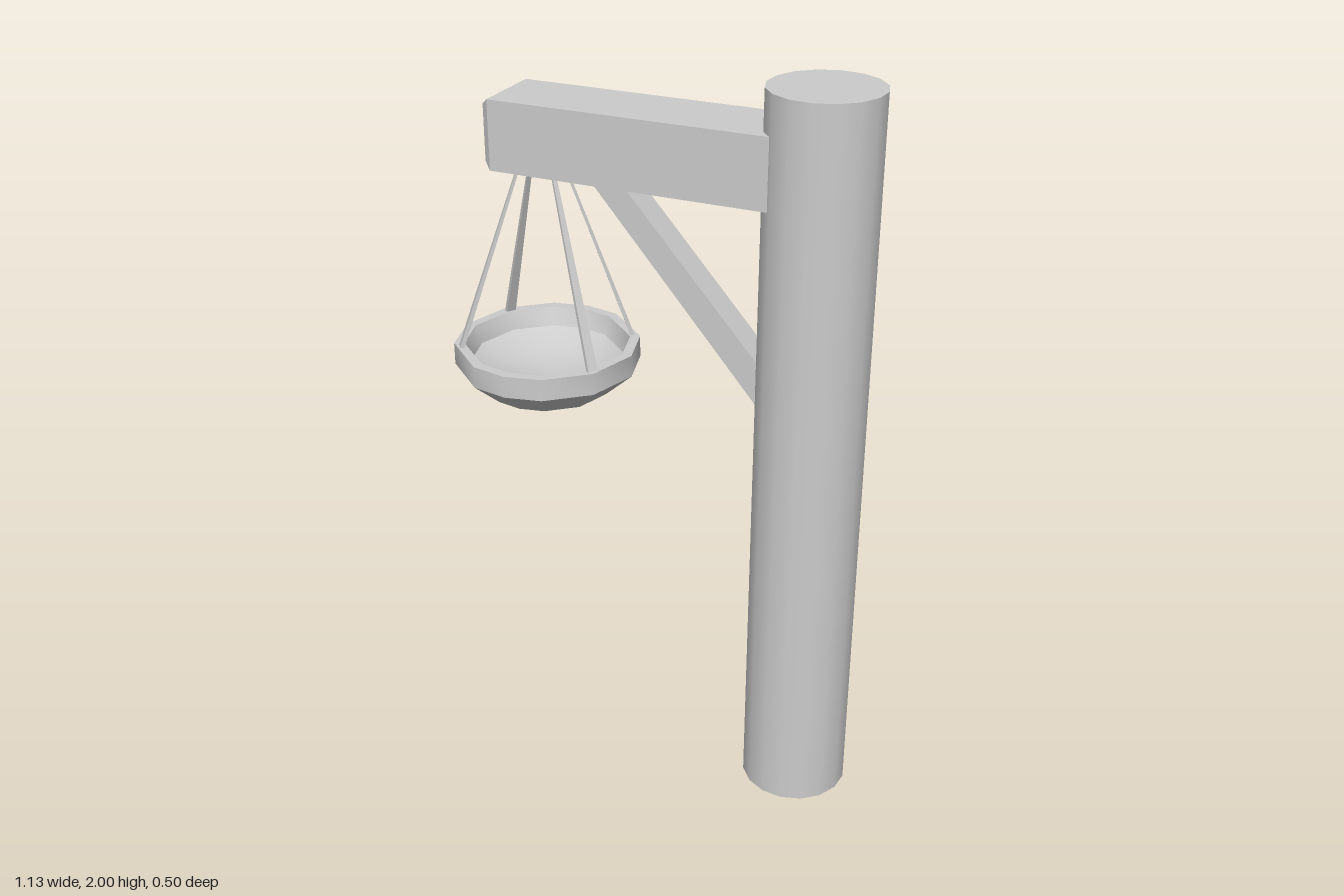
import * as THREE from 'three';
import { toCreasedNormals } from 'three/addons/utils/BufferGeometryUtils.js';

const material = new THREE.MeshStandardMaterial({ color: 0xcccccc });
const openMaterial = new THREE.MeshStandardMaterial({ color: 0xcccccc, side: THREE.DoubleSide });

function addMesh(parent, name, geometry, mat = material) {
  const mesh = new THREE.Mesh(geometry, mat);
  mesh.name = name;
  parent.add(mesh);
  return mesh;
}

// Applies a rule to every vertex of a geometry
function reshape(geometry, rule) {
  const p = geometry.attributes.position;
  const v = new THREE.Vector3();
  for (let i = 0; i < p.count; i++) {
    rule(v.fromBufferAttribute(p, i));
    p.setXYZ(i, v.x, v.y, v.z);
  }
  return geometry;
}

const creased = (geometry, angle) => toCreasedNormals(geometry.toNonIndexed(), angle);

export function createModel() {
  const model = new THREE.Group();
  model.name = 'hangingBowlPost';
  const postX = 0.417, postZ = 0.023, postRadius = 0.146;

  // Round post, open underneath
  const post = new THREE.Group();
  post.name = 'post';
  post.position.set(postX, 0, postZ);
  model.add(post);
  addMesh(post, 'postShaft',
    new THREE.CylinderGeometry(postRadius, postRadius, 2, 16, 1, true), openMaterial).position.y = 1;
  const cap = addMesh(post, 'postTop', new THREE.CircleGeometry(postRadius, 16));
  cap.rotation.set(-Math.PI / 2, 0, 0);
  cap.position.y = 2;

  // Arm assembly, turned slightly towards the back
  const arm = new THREE.Group();
  arm.name = 'arm';
  arm.position.set(postX, 0, postZ);
  arm.rotation.y = -0.1;
  model.add(arm);

  // Beam with a chamfered free end
  const length = 0.79;
  const beamGeometry = reshape(new THREE.BoxGeometry(length, 0.185, 0.205, 2, 1, 1), (v) => {
    if (Math.abs(v.x) < 0.001) v.x = -length / 2 + 0.022;
    else if (v.x < 0) {
      v.y -= Math.sign(v.y) * 0.018;
      v.z -= Math.sign(v.z) * 0.018;
    }
  });
  addMesh(arm, 'beam', creased(beamGeometry, 0.3)).position.set(-0.085 - length / 2, 1.8025, 0);

  // Diagonal brace between beam and post
  const outline = new THREE.Shape([
    [-0.625, 1.73], [-0.535, 1.73], [-0.1, 1.24], [-0.1, 1.12],
  ].map(([x, y]) => new THREE.Vector2(x, y)).reverse());
  const braceWidth = 0.085;
  addMesh(arm, 'brace', new THREE.ExtrudeGeometry(outline, { depth: braceWidth, bevelEnabled: false }))
    .position.z = -braceWidth / 2;

  // Hanging bowl
  const hanging = new THREE.Group();
  hanging.name = 'hangingBowl';
  hanging.position.set(-0.317, 0, 0);
  model.add(hanging);

  // Twelve unevenly spaced sides around a turned profile
  const half = [-95, -72, -40, -6, 24, 62];
  const angles = [...half, ...half.map((a) => a + 180)].map(THREE.MathUtils.degToRad);
  const profile = [
    [0, 1.112], [0.172, 1.112], [0.249, 1.18], [0.249, 1.24],
    [0.222, 1.24], [0.205, 1.19], [0.13, 1.15], [0, 1.138],
  ].map(([r, y]) => new THREE.Vector2(r, y));
  const bowlGeometry = reshape(new THREE.LatheGeometry(profile, 12), (v) => {
    const r = Math.hypot(v.x, v.z);
    const i = (Math.round(Math.atan2(v.x, v.z) / (Math.PI / 6)) + 12) % 12;
    v.x = r * Math.cos(angles[i]);
    v.z = -r * Math.sin(angles[i]);
  });
  addMesh(hanging, 'bowl', creased(bowlGeometry, 0.72));

  // Four flat straps, narrowing towards the beam
  const bottomY = 1.225, topY = 1.72;
  for (const degrees of [29, 139, 209, 322]) {
    const strapGeometry = reshape(new THREE.BoxGeometry(0.012, 1, 0.028), (v) => {
      const t = v.y + 0.5;
      v.x = v.x * (1 - 0.4 * t) + THREE.MathUtils.lerp(0.234, 0.06, t);
      v.z *= 1 - 0.6 * t;
      v.y = THREE.MathUtils.lerp(bottomY, topY, t);
    });
    strapGeometry.computeVertexNormals();
    addMesh(hanging, 'strap', strapGeometry).rotation.y = THREE.MathUtils.degToRad(degrees);
  }

  return model;
}
